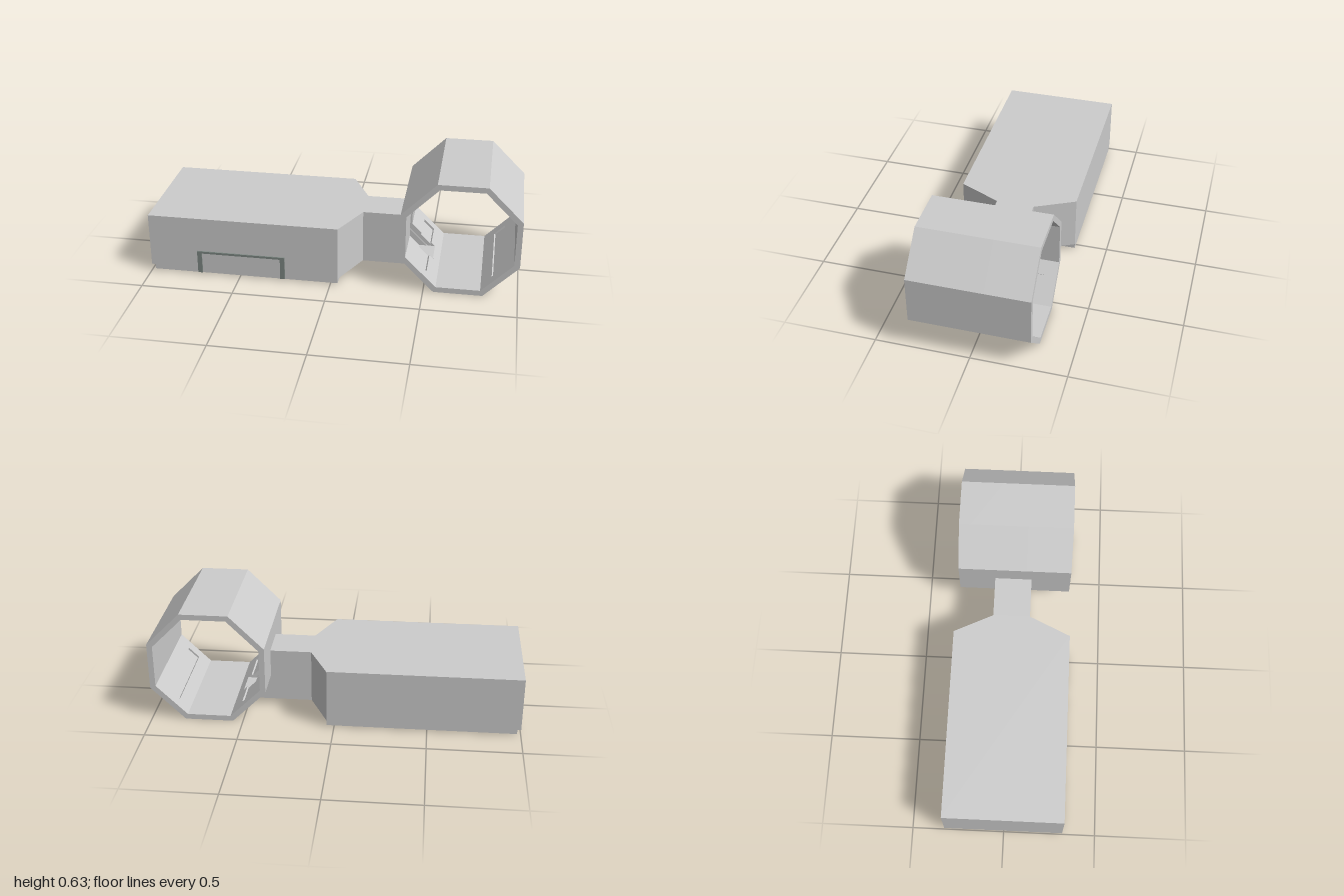
import * as THREE from 'three';

const grey = new THREE.MeshStandardMaterial({ color: 0xcccccc, flatShading: true });
const dark = new THREE.MeshStandardMaterial({ color: 0x7c8782, flatShading: true });

const pts = (list) => list.map(([x, y]) => new THREE.Vector2(x, y));

function add(group, name, geometry, material = grey) {
  const mesh = new THREE.Mesh(geometry, material);
  mesh.name = name;
  group.add(mesh);
  return mesh;
}

// Box given by its limits
function box(x0, x1, y0, y1, z0, z1) {
  return new THREE.BoxGeometry(x1 - x0, y1 - y0, z1 - z0)
    .translate((x0 + x1) / 2, (y0 + y1) / 2, (z0 + z1) / 2);
}

// Front outline (x, y) extruded from z0 to z1
function slab(outline, z0, z1, hole) {
  const shape = new THREE.Shape(pts(outline));
  if (hole) shape.holes.push(new THREE.Path(pts(hole)));
  return new THREE.ExtrudeGeometry(shape, { depth: z1 - z0, bevelEnabled: false }).translate(0, 0, z0);
}

// Plan outline (x, z) extruded from y0 to y1
function plan(outline, y0, y1) {
  const shape = new THREE.Shape(pts(outline.map(([x, z]) => [x, -z])));
  return new THREE.ExtrudeGeometry(shape, { depth: y1 - y0, bevelEnabled: false })
    .rotateX(-Math.PI / 2).translate(0, y0, 0);
}

// Consecutive octagon corners; slanted sides can carry a shallow groove
const CX = 0.685, CY = 0.315;
function octagon(apothem, first, count, grooved) {
  const out = [];
  const r = apothem / Math.cos(Math.PI / 8);
  for (let k = first; k < first + count; k++) {
    const a = Math.PI / 8 + k * Math.PI / 4;
    out.push([CX + r * Math.cos(a), CY + r * Math.sin(a)]);
    const last = k === first + count - 1;
    if (grooved && k % 2 === 0 && !(last && count < 8)) {
      const n = a + Math.PI / 8;
      const c = Math.cos(n), s = Math.sin(n);
      for (const [d, t] of [[0, -0.04], [0.01, -0.04], [0.01, 0.04], [0, 0.04]]) {
        out.push([CX + (apothem + d) * c - t * s, CY + (apothem + d) * s + t * c]);
      }
    }
  }
  return out;
}

export function createModel() {
  const model = new THREE.Group();

  // Hollow housing: tapered walls, roof and floor
  const housing = new THREE.Group();
  housing.name = 'housing';
  const outer = [[0.145, 0.095], [0.04, 0.32], [-1, 0.32], [-1, -0.325], [0.04, -0.325], [0.145, -0.11]];
  const inner = [[0.145, -0.08], [0.02, -0.295], [-0.97, -0.295], [-0.97, 0.29], [0.02, 0.29], [0.145, 0.065]];
  add(housing, 'housingWalls', plan([...outer, ...inner], 0.065, 0.305));
  add(housing, 'housingRoof', plan(outer, 0.305, 0.335));
  add(housing, 'housingFloor', plan(outer, 0.035, 0.065));
  add(housing, 'basePlate', box(-0.98, 0.04, 0.008, 0.035, -0.325, 0.32));
  model.add(housing);

  // Thin frame on the front face
  const frame = new THREE.Group();
  frame.name = 'frontFrame';
  add(frame, 'frameTop', box(-0.735, -0.25, 0.128, 0.14, 0.315, 0.327), dark);
  for (const x of [-0.735, -0.275]) {
    add(frame, 'frameSide', box(x, x + 0.025, 0.01, 0.128, 0.315, 0.327), dark);
  }
  model.add(frame);

  // Hollow neck joining the housing to the ring
  const neck = new THREE.Group();
  neck.name = 'neck';
  const side = [[0.145, 0.035], [0.515, 0.035], [0.385, 0.165], [0.385, 0.335], [0.145, 0.335]];
  add(neck, 'neckSideBack', slab(side, -0.11, -0.08));
  add(neck, 'neckSideFront', slab(side, 0.065, 0.095));
  add(neck, 'neckRoof', box(0.145, 0.385, 0.305, 0.335, -0.08, 0.065));
  add(neck, 'neckFloor', box(0.145, 0.508, 0.035, 0.065, -0.08, 0.065));
  model.add(neck);

  // Octagonal ring in sections: plain ends, grooved middle, gap where the neck opens in
  const ring = new THREE.Group();
  ring.name = 'ring';
  const R = 0.315, r = 0.285;
  const full = octagon(R, 0, 8, false);
  for (const [z0, z1, grooved] of [
    [-0.314, -0.25, false], [-0.25, -0.08, true], [0.065, 0.25, true], [0.25, 0.314, false],
  ]) {
    add(ring, 'ringSection', slab(full, z0, z1, octagon(r, 0, 8, grooved)));
  }
  const open = [
    [0.475, 0.065], ...octagon(R, 5, 7, false), [0.37, 0.305],
    ...[[0.532, 0.065], ...octagon(r, 5, 7, true), [0.4, 0.305]].reverse(),
  ];
  add(ring, 'ringOpenSection', slab(open, -0.08, 0.065));

  // Shallow rib under the top of the ring
  const rib = [[0.62, 0.602], [0.645, 0.593], [0.715, 0.593], [0.74, 0.602]];
  add(ring, 'topRib', slab(rib, -0.25, 0.25));
  model.add(ring);

  return model;
}
